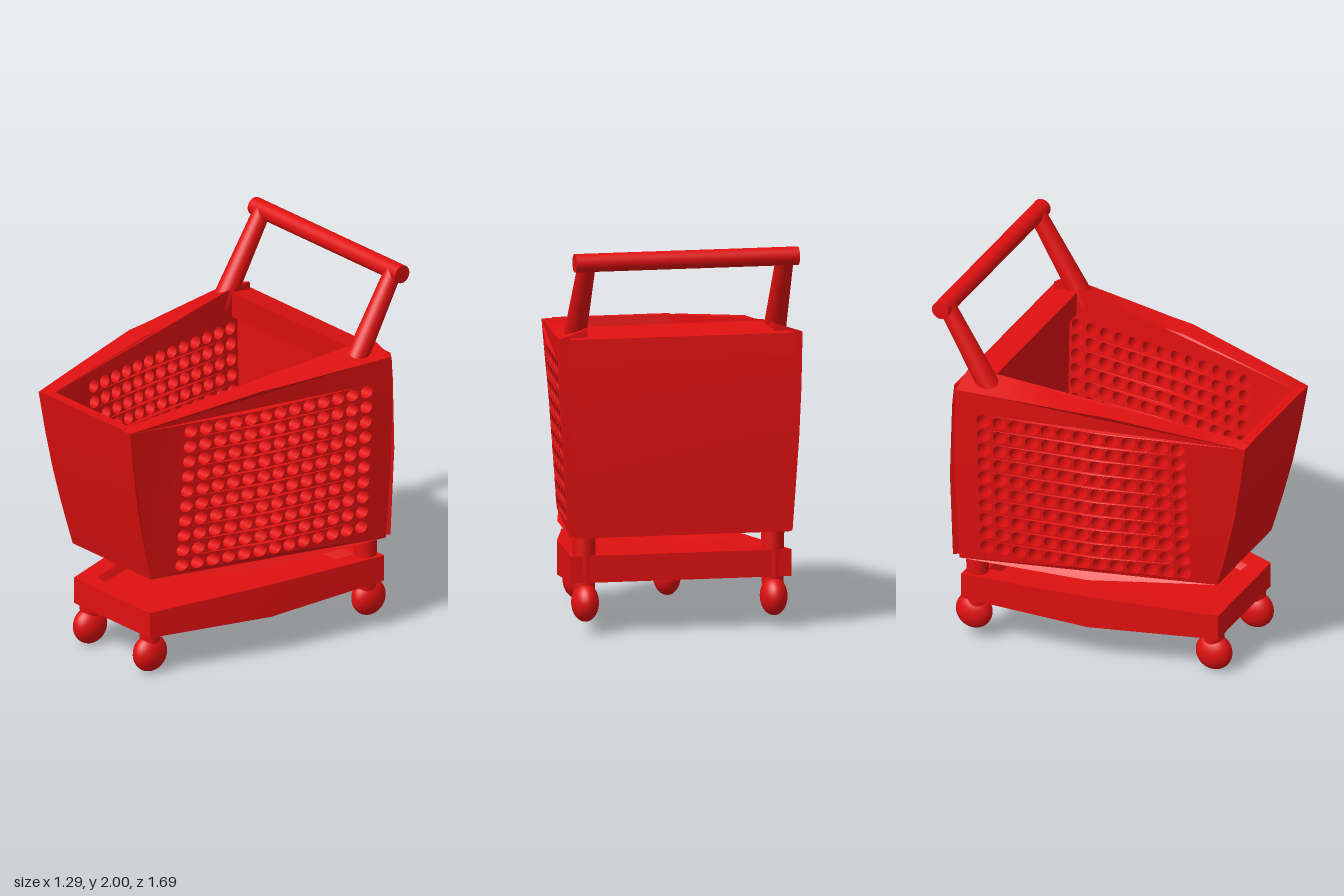
import * as THREE from 'three';
import { toCreasedNormals } from 'three/addons/utils/BufferGeometryUtils.js';

const redPlastic = new THREE.MeshStandardMaterial({ color: 0xe01010 });
redPlastic.name = 'red plastic';

// Linear interpolation through [position, value] pairs
function ramp(pairs, p) {
  let i = 0;
  while (i < pairs.length - 2 && p > pairs[i + 1][0]) i++;
  const [a, va] = pairs[i], [b, vb] = pairs[i + 1];
  return va + (vb - va) * (p - a) / (b - a);
}

// Closed solid through rings of [x, y, z], each counter-clockwise from above
function loft(rings) {
  const out = [], n = rings[0].length;
  const tri = (a, b, c) => out.push(...a, ...b, ...c);
  for (let r = 0; r < rings.length - 1; r++) {
    for (let i = 0; i < n; i++) {
      const j = (i + 1) % n, lo = rings[r], hi = rings[r + 1];
      tri(lo[i], lo[j], hi[j]);
      tri(lo[i], hi[j], hi[i]);
    }
  }
  const first = rings[0], last = rings[rings.length - 1];
  for (let i = 1; i < n - 1; i++) {
    tri(first[0], first[i + 1], first[i]);
    tri(last[0], last[i], last[i + 1]);
  }
  const geo = new THREE.BufferGeometry();
  geo.setAttribute('position', new THREE.Float32BufferAttribute(out, 3));
  return toCreasedNormals(geo, 0.4);
}

// Symmetric ring from [halfWidth, y, z] stations listed front to back
const ring = (stations) => [
  ...stations.map(([x, y, z]) => [x, y, z]),
  ...[...stations].reverse().map(([x, y, z]) => [-x, y, z]),
];

// Outer half width of the basket: wider to the back and to the top
function halfWidth(z, y) {
  const top = ramp([[-0.68, 0.645], [0.1, 0.53], [0.85, 0.37]], z);
  const bottom = ramp([[-0.68, 0.59], [0, 0.49], [0.66, 0.31]], z);
  const s = THREE.MathUtils.clamp((y - 0.52) / 1.0, 0, 1);
  return bottom + (top - bottom) * (1 - Math.pow(1 - s, 1.3));
}

// Side wall with a grid of round holes, bent to the basket's taper
function sideWall(side) {
  const outline = [
    [0.66, 0.55], [0.72, 0.77], [0.77, 0.98], [0.81, 1.2], [0.845, 1.43],
    [0.6, 1.46], [0.35, 1.49], [0.1, 1.52], [-0.02, 1.52], [-0.25, 1.528],
    [-0.5, 1.535], [-0.68, 1.54], [-0.69, 1.25], [-0.695, 1.0], [-0.69, 0.75],
    [-0.685, 0.51], [-0.35, 0.505], [0, 0.5], [0.33, 0.525],
  ];
  const shape = new THREE.Shape(outline.map(([z, y]) => new THREE.Vector2(z, y)));
  for (let c = 0; c < 13; c++) {
    for (let r = 0; r < 10; r++) {
      const hole = new THREE.Path();
      hole.absarc(0.495 - c * 0.0858, 0.605 + r * 0.0856, 0.036, 0, Math.PI * 2, true);
      shape.holes.push(hole);
    }
  }
  const geo = new THREE.ExtrudeGeometry(shape, { depth: 1, bevelEnabled: false, curveSegments: 8 });
  const p = geo.attributes.position;
  for (let i = 0; i < p.count; i++) {
    const z = p.getX(i), y = p.getY(i);
    const inward = side > 0 ? p.getZ(i) : 1 - p.getZ(i);
    const thickness = ramp([[-0.68, 0.15], [0.85, 0.08]], z);
    // The inner edge of the rim rises towards the back
    const lift = y > 1.45 ? 0.05 * THREE.MathUtils.clamp(-z / 0.5, 0, 1) * inward : 0;
    p.setXYZ(i, side * (halfWidth(z, y) - inward * thickness), y + lift, z);
  }
  return toCreasedNormals(geo, 0.6);
}

export function createModel() {
  const model = new THREE.Group();
  model.name = 'shoppingCart';

  const add = (name, geometry, parent = model) => {
    const mesh = new THREE.Mesh(geometry, redPlastic);
    mesh.name = name;
    parent.add(mesh);
    return mesh;
  };

  // Round bar between two points
  const bar = (name, from, to, r0, r1, parent) => {
    const a = new THREE.Vector3(...from), b = new THREE.Vector3(...to);
    const mesh = add(name, new THREE.CylinderGeometry(r1, r0, a.distanceTo(b), 24), parent);
    mesh.position.copy(a).lerp(b, 0.5);
    mesh.quaternion.setFromUnitVectors(new THREE.Vector3(0, 1, 0), b.sub(a).normalize());
    return mesh;
  };

  // Basket
  const basket = new THREE.Group();
  basket.name = 'basket';
  model.add(basket);
  add('leftWall', sideWall(1), basket);
  add('rightWall', sideWall(-1), basket);

  // Each row: half width, y, outer z, inner z
  add('frontWall', loft([
    [0.25, 0.55, 0.66, 0.55],
    [0.27, 0.77, 0.72, 0.61],
    [0.29, 0.98, 0.77, 0.67],
    [0.3, 1.2, 0.81, 0.735],
    [0.31, 1.435, 0.845, 0.79],
  ].map(([w, y, zo, zi]) => ring([[w, y, zo], [w, y, zi]]))), basket);

  // Each row: inner half width, y, z, then outer half width, y, z
  add('backWall', loft([
    [0.46, 0.51, -0.58, 0.575, 0.51, -0.73],
    [0.48, 1.0, -0.58, 0.6, 1.0, -0.735],
    [0.48, 1.42, -0.585, 0.605, 1.42, -0.72],
    [0.47, 1.44, -0.54, 0.605, 1.44, -0.718],
    [0.46, 1.582, -0.53, 0.6, 1.54, -0.71],
  ].map(([wi, yi, zi, wo, yo, zo]) => ring([[wi, yi, zi], [wo, yo, zo]]))), basket);

  add('basketFloor', loft([
    ring([[0.27, 0.548, 0.645], [0.45, 0.503, 0], [0.55, 0.512, -0.68]]),
    ring([[0.27, 0.567, 0.645], [0.45, 0.567, 0], [0.55, 0.567, -0.68]]),
  ]), basket);

  // Lower tray with a raised rim
  add('baseTray', loft([
    ring([[0.305, 0.22, 0.66], [0.49, 0.22, 0], [0.585, 0.27, -0.68]]),
    ring([[0.305, 0.36, 0.66], [0.49, 0.4, 0], [0.585, 0.41, -0.68]]),
    ring([[0.24, 0.355, 0.56], [0.385, 0.395, 0], [0.465, 0.405, -0.58]]),
    ring([[0.22, 0.325, 0.53], [0.365, 0.34, 0], [0.44, 0.345, -0.55]]),
  ]));

  // Handle
  const handle = new THREE.Group();
  handle.name = 'handle';
  model.add(handle);
  bar('handleGrip', [-0.592, 1.952, -0.795], [0.592, 1.952, -0.795], 0.048, 0.048, handle);

  for (const s of [1, -1]) {
    const side = s > 0 ? 'left' : 'right';
    bar(side + 'HandlePost', [s * 0.53, 1.48, -0.51], [s * 0.525, 1.95, -0.79], 0.06, 0.046, handle);

    // Rear support from wheel to basket, and short front stem
    bar(side + 'RearSupport', [s * 0.5, 0.2, -0.625], [s * 0.5, 0.53, -0.625], 0.056, 0.06);
    bar(side + 'FrontStem', [s * 0.24, 0.15, 0.605], [s * 0.24, 0.26, 0.605], 0.052, 0.056);

    // Flattened ball wheels
    for (const [name, x, y, z] of [['RearWheel', 0.5, 0.165, -0.645], ['FrontWheel', 0.24, 0.105, 0.605]]) {
      const wheel = add(side + name, new THREE.SphereGeometry(0.1, 28, 20));
      wheel.scale.x = 0.7;
      wheel.position.set(s * x, y, z);
    }
  }
  return model;
}
